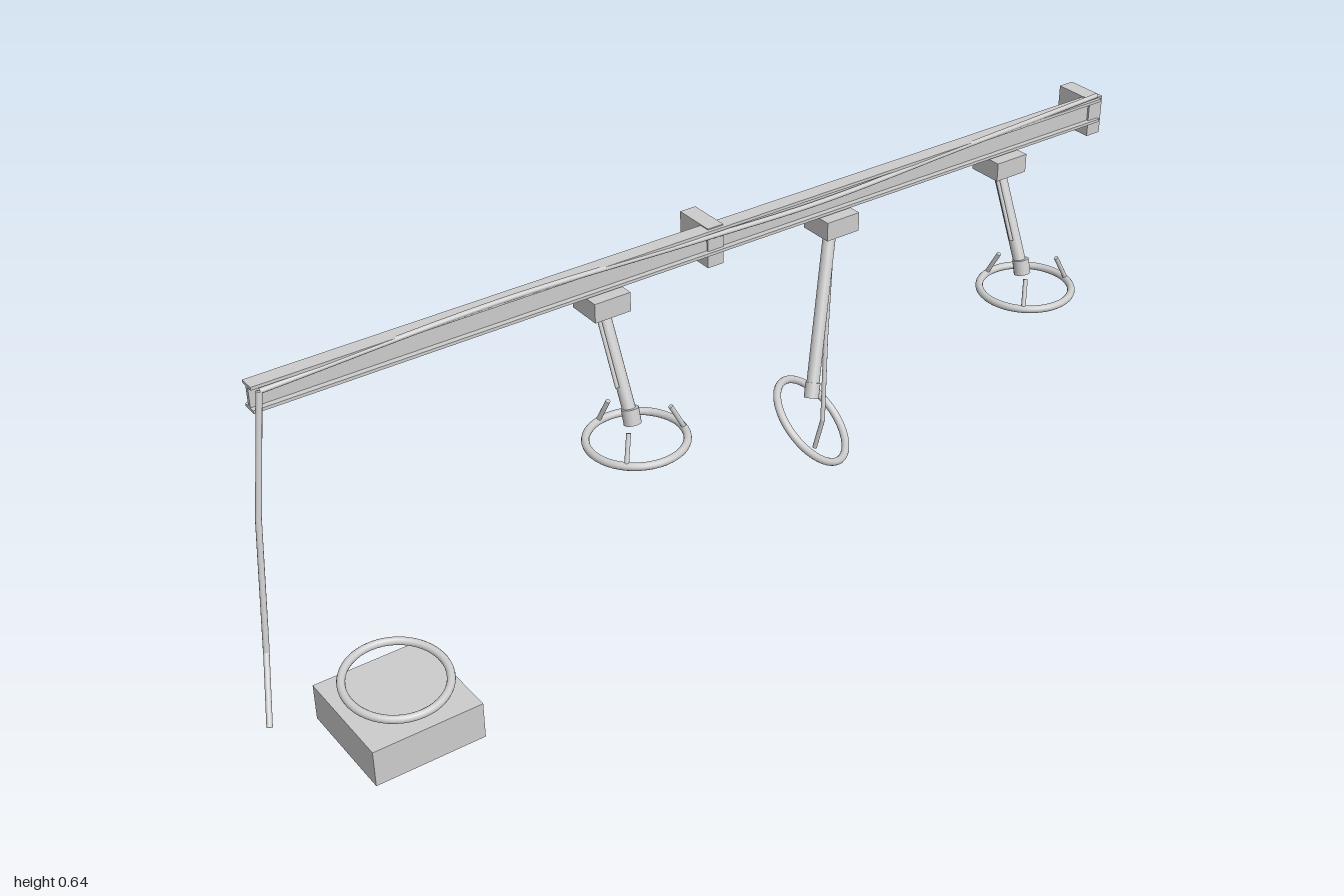
import * as THREE from 'three';

const V = (x, y, z) => new THREE.Vector3(x, y, z);
const UP = V(0, 1, 0);

export function createModel() {
  const root = new THREE.Group();
  root.name = 'hangingHoopRail';
  const mat = new THREE.MeshStandardMaterial({ color: 0xcccccc });

  const add = (parent, name, geo) => {
    const mesh = new THREE.Mesh(geo, mat);
    mesh.name = name;
    parent.add(mesh);
    return mesh;
  };
  // box given by its limits on each axis
  const box = (parent, name, [x0, x1], [y0, y1], [z0, z1]) => {
    const m = add(parent, name, new THREE.BoxGeometry(x1 - x0, y1 - y0, z1 - z0));
    m.position.set((x0 + x1) / 2, (y0 + y1) / 2, (z0 + z1) / 2);
    return m;
  };
  // round bar between two points
  const bar = (parent, name, a, b, r, sides = 16) => {
    const d = b.clone().sub(a);
    const m = add(parent, name, new THREE.CylinderGeometry(r, r, d.length(), sides));
    m.position.copy(a).add(b).multiplyScalar(0.5);
    m.quaternion.setFromUnitVectors(UP, d.normalize());
    return m;
  };
  // ring facing along a normal
  const hoop = (parent, name, center, normal) => {
    const m = add(parent, name, new THREE.TorusGeometry(0.092, 0.0075, 12, 48));
    m.position.copy(center);
    m.quaternion.setFromUnitVectors(V(0, 0, 1), normal.clone().normalize());
    return m;
  };
  // cord made of straight runs
  const cord = (parent, name, pts, r) => {
    const g = new THREE.Group();
    g.name = name;
    parent.add(g);
    for (let i = 1; i < pts.length; i++) bar(g, name + 'Run', pts[i - 1], pts[i], r, 10);
    pts.slice(1, -1).forEach(p => add(g, name + 'Joint', new THREE.SphereGeometry(r, 10, 8)).position.copy(p));
  };

  // I-section rail running along x
  const half = [[0.015, 0], [0.015, 0.006], [0.004, 0.006], [0.004, 0.044], [0.015, 0.044], [0.015, 0.05]];
  const outline = [...half, ...half.map(([z, y]) => [-z, y]).reverse()];
  const section = new THREE.Shape(outline.map(([z, y]) => new THREE.Vector2(z, y)));
  const rail = add(root, 'rail', new THREE.ExtrudeGeometry(section, { depth: 1.875, bevelEnabled: false }));
  rail.rotation.y = Math.PI / 2;
  rail.position.set(-0.89, 0.576, -0.116);

  // wall brackets behind the rail
  for (const x of [0.01, 0.96]) box(root, 'wallBracket', [x, x + 0.034], [0.548, 0.628], [-0.195, -0.108]);

  // carriers with a hanging arm, collar, hoop and prongs
  const carrier = x => {
    const g = new THREE.Group();
    g.name = 'hangingHoop';
    root.add(g);
    box(g, 'carrierBlock', [x - 0.0375, x + 0.0375], [0.535, 0.573], [-0.152, -0.08]);
    return g;
  };

  for (const x of [-0.216, 0.728]) {
    const g = carrier(x);
    bar(g, 'arm', V(x, 0.545, -0.12), V(x, 0.355, -0.034), 0.0125);
    bar(g, 'collar', V(x, 0.369, -0.036), V(x, 0.34, -0.028), 0.0165);
    bar(g, 'cord', V(x - 0.016, 0.535, -0.106), V(x - 0.016, 0.41, -0.05), 0.004, 8);
    const c = V(x, 0.314, -0.017);
    hoop(g, 'hoop', c, UP);
    for (const deg of [15, 135, 255]) {
      const a = THREE.MathUtils.degToRad(deg);
      const at = (r, y) => V(c.x + Math.cos(a) * r, y, c.z + Math.sin(a) * r);
      bar(g, 'prong', at(0.093, 0.314), at(0.066, 0.367), 0.0045, 10);
    }
  }

  // swung carrier with a tilted hoop and trailing cord
  const swung = carrier(0.302);
  const top = V(0.302, 0.545, -0.118), end = V(0.185, 0.25, -0.019);
  bar(swung, 'arm', top, end, 0.0125);
  bar(swung, 'collar', end.clone().lerp(top, 0.09), end, 0.0145);
  hoop(swung, 'hoop', V(0.171, 0.215, 0.001), V(0.47, 0.71, 0.53));
  cord(swung, 'cord', [V(0.298, 0.54, -0.107), V(0.255, 0.34, -0.066),
    V(0.223, 0.18, -0.03), V(0.217, 0.112, -0.045)], 0.0045);

  // cable lying along the rail
  const cable = new THREE.CatmullRomCurve3([V(-0.875, 0.612, -0.104), V(-0.43, 0.627, -0.104),
    V(0, 0.614, -0.104), V(0.27, 0.608, -0.104), V(0.6, 0.621, -0.104), V(0.975, 0.634, -0.106)]);
  add(root, 'railCable', new THREE.TubeGeometry(cable, 60, 0.005, 10));

  // cable hanging off the end of the rail
  cord(root, 'hangingCable', [V(-0.875, 0.612, -0.104), V(-0.921, 0.4, -0.067),
    V(-0.956, 0.17, -0.026), V(-0.996, 0.076, 0.044)], 0.0055);

  // floor block with a loose hoop tipped above it
  box(root, 'floorBlock', [-0.887, -0.678], [0, 0.072], [-0.017, 0.196]);
  hoop(root, 'looseHoop', V(-0.782, 0.105, 0.09), V(0, 1, 0.13));

  return root;
}
